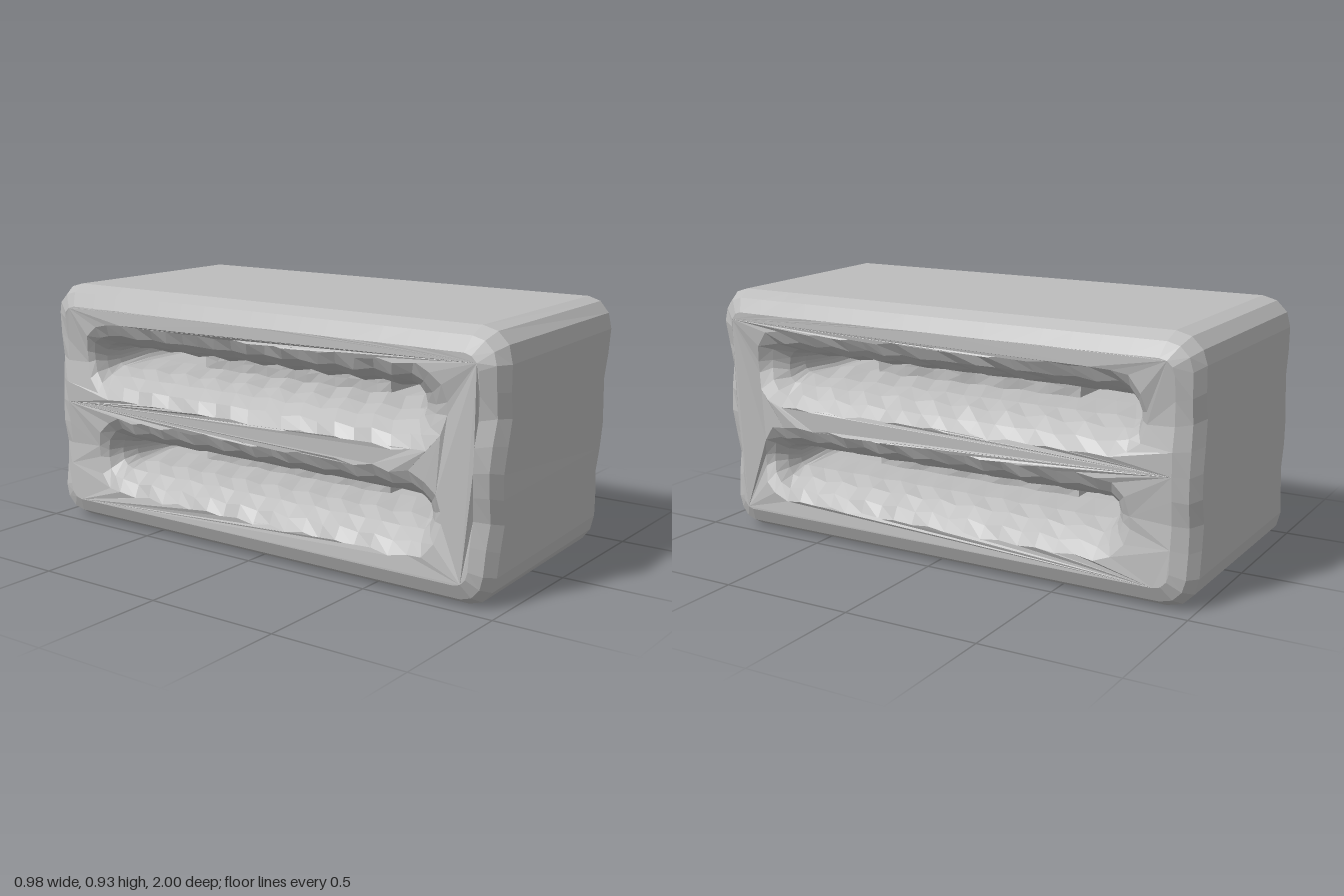
import * as THREE from 'three';

const HALF_X = 0.485, TOP = 0.93;
const SLOTS = [
  { y: 0.65, outer: [-0.82, 0.8], inner: [-0.76, 0.64] },
  { y: 0.285, outer: [-0.77, 0.79], inner: [-0.68, 0.69] },
];
// flare of a slot from the outside in: x, half height, share of the end taper
const FLARE = [[HALF_X, 0.145, 0], [0.465, 0.1, 0.35], [0.42, 0.065, 0.7], [0.34, 0.042, 0.9], [0.18, 0.034, 1]];
// rounded rim of the block: x, inset
const RIM = [[HALF_X, 0.08], [0.46, 0.028], [0.41, 0]];

// rounded rectangle in the (z, y) plane, counter-clockwise
function outline(z0, z1, y0, y1, r, nz, ny) {
  const pts = [];
  const corners = [[z1 - r, y0 + r, -1], [z1 - r, y1 - r, 0], [z0 + r, y1 - r, 1], [z0 + r, y0 + r, 2]];
  corners.forEach(([cz, cy, q], k) => {
    const at = (c, a) => new THREE.Vector2(c[0] + r * Math.cos(a), c[1] + r * Math.sin(a));
    for (let i = 0; i <= 3; i++) pts.push(at([cz, cy], (q + i / 3) * Math.PI / 2));
    const end = pts[pts.length - 1];
    const next = at(corners[(k + 1) % 4], (q + 1) * Math.PI / 2);
    const n = k % 2 ? nz : ny;
    for (let i = 1; i < n; i++) pts.push(end.clone().lerp(next, i / n));
  });
  return pts;
}

const rimRing = (inset) =>
  outline(-1 + inset, 1 - inset, inset, TOP - inset, 0.11 - inset * 0.7, 16, 8);

const slotRing = (s, hy, t) => outline(
  THREE.MathUtils.lerp(s.outer[0], s.inner[0], t), THREE.MathUtils.lerp(s.outer[1], s.inner[1], t),
  s.y - hy, s.y + hy, hy * 0.85, 18, 1);

// slight unevenness: leaning front, pinched sides at the slots, wavy bars
function warp(geometry) {
  const p = geometry.attributes.position;
  for (let i = 0; i < p.count; i++) {
    let x = p.getX(i), y = p.getY(i), z = p.getZ(i);
    const pinch = SLOTS.reduce((sum, s) => sum + Math.exp(-(((y - s.y) / 0.09) ** 2)), 0);
    const side = Math.sign(x);
    const middle = THREE.MathUtils.smoothstep(y, 0.09, 0.15) * (1 - THREE.MathUtils.smoothstep(y, 0.8, 0.86));
    if (Math.abs(x) > 0.4) x -= side * 0.022 * pinch;
    y += middle * 0.007 * Math.sin(z * 43 + x * 17);
    x += side * middle * 0.005 * Math.sin(z * 31 + y * 19);
    if (z > 0) z -= z ** 4 * (0.055 * Math.max(0, x + 0.4) + 0.05 * Math.max(0, 0.82 - y));
    p.setXYZ(i, x, y, z);
  }
  const flat = geometry.index ? geometry.toNonIndexed() : geometry;
  flat.computeVertexNormals();
  return flat;
}

// skin over matching rings, ordered from -x to +x
function loft(rings, outward) {
  const n = rings[0].pts.length, pos = [], idx = [];
  rings.forEach(({ x, pts }) => pts.forEach((p) => pos.push(x, p.y, p.x)));
  for (let i = 0; i < rings.length - 1; i++) {
    for (let j = 0; j < n; j++) {
      const a = i * n + j, b = i * n + (j + 1) % n, c = a + n, d = b + n;
      if (outward) idx.push(a, c, b, b, c, d);
      else idx.push(a, b, c, b, d, c);
    }
  }
  const g = new THREE.BufferGeometry();
  g.setAttribute('position', new THREE.Float32BufferAttribute(pos, 3));
  g.setIndex(idx);
  return warp(g);
}

// mirror a half profile of rings to the other side
function bothSides(profile, ring) {
  const right = profile.map(([x, ...args]) => ({ x: -x, pts: ring(...args) }));
  const left = profile.map(([x, ...args]) => ({ x, pts: ring(...args) })).reverse();
  return [...right, ...left];
}

// side face with the slot openings cut out
function sideFace(side) {
  const shape = new THREE.Shape(rimRing(RIM[0][1]));
  SLOTS.forEach((s) => shape.holes.push(new THREE.Path(slotRing(s, FLARE[0][1], 0))));
  const g = new THREE.ShapeGeometry(shape);
  const p = g.attributes.position;
  for (let i = 0; i < p.count; i++) p.setXYZ(i, side * HALF_X, p.getY(i), p.getX(i));
  if (side > 0) g.index.array.reverse();
  g.deleteAttribute('uv');
  return warp(g);
}

export function createModel() {
  const model = new THREE.Group();
  model.name = 'slottedBlock';
  const stone = new THREE.MeshStandardMaterial({ color: 0xbcbcbc, flatShading: true });
  stone.name = 'grey stone';
  const add = (name, geometry) => {
    const mesh = new THREE.Mesh(geometry, stone);
    mesh.name = name;
    model.add(mesh);
  };

  // top, bottom, ends and rounded rim
  add('outerShell', loft(bothSides(RIM, rimRing), true));
  add('leftSide', sideFace(1));
  add('rightSide', sideFace(-1));

  // slots running right through, closed by a core in the middle
  SLOTS.forEach((s, i) => {
    const name = i ? 'lower' : 'upper';
    add(name + 'Slot', loft(bothSides(FLARE, (hy, t) => slotRing(s, hy, t)), false));
    const core = new THREE.BoxGeometry(0.4, 0.085, 0.86, 2, 2, 14);
    core.translate(0, s.y, -0.02);
    add(name + 'SlotCore', warp(core));
  });
  return model;
}
